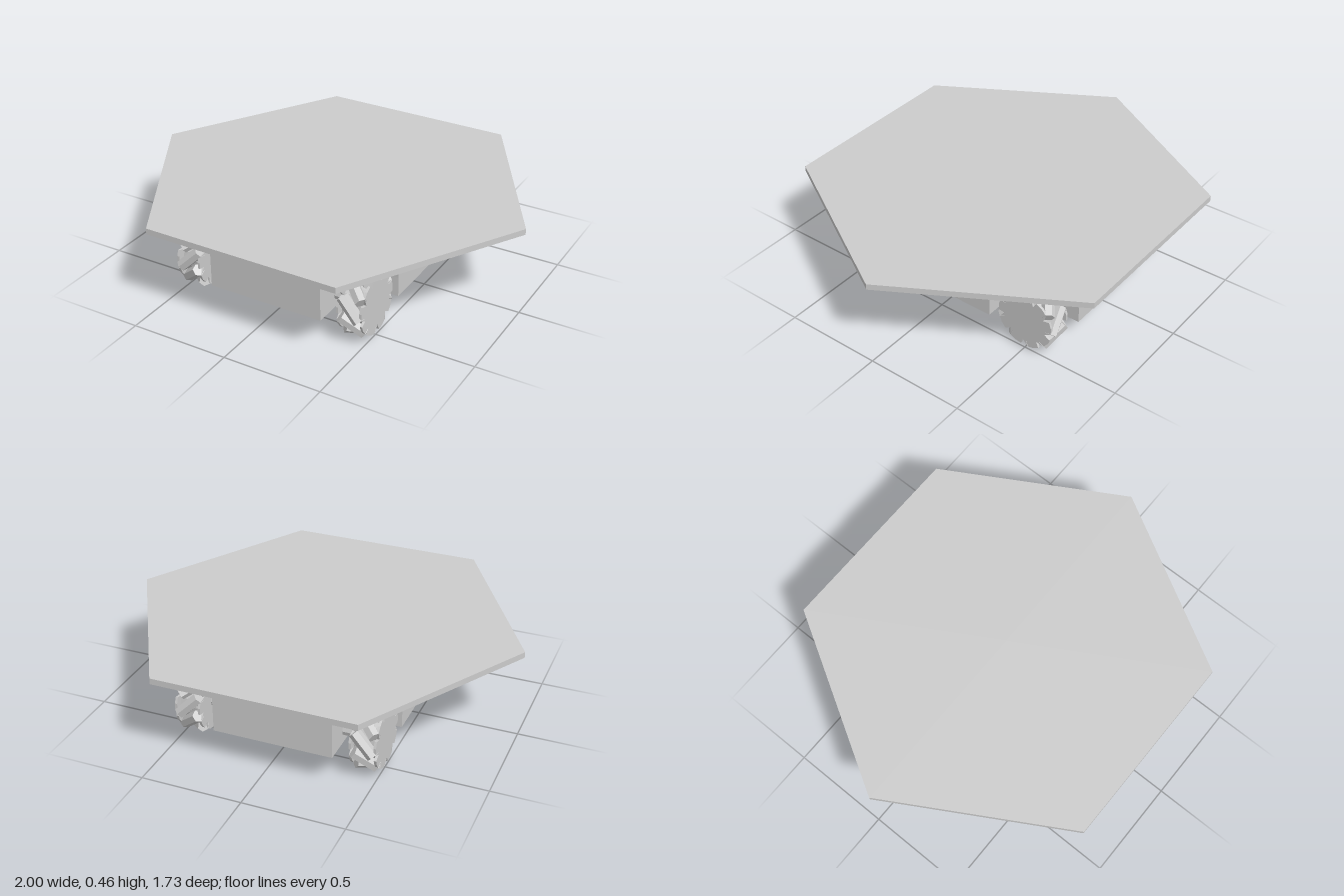
import * as THREE from 'three';

const mat = new THREE.MeshStandardMaterial({ color: 0xcccccc, flatShading: true });

function add(parent, name, geometry, x = 0, y = 0, z = 0) {
  const mesh = new THREE.Mesh(geometry, mat);
  mesh.name = name;
  mesh.position.set(x, y, z);
  parent.add(mesh);
  return mesh;
}

// Side section of the chassis: rounded wheel arches, open towards both ends
function archProfile() {
  const s = new THREE.Shape();
  s.moveTo(-0.3, 0.1);
  s.lineTo(0.3, 0.1);
  s.lineTo(0.3, 0.2);
  s.absarc(0.46, 0.2, 0.16, Math.PI, Math.PI / 2, true);
  s.lineTo(0.66, 0.36);
  s.lineTo(0.66, 0.405);
  s.lineTo(-0.66, 0.405);
  s.lineTo(-0.66, 0.36);
  s.lineTo(-0.46, 0.36);
  s.absarc(-0.46, 0.2, 0.16, Math.PI / 2, 0, true);
  s.closePath();
  return s;
}

const ROLLERS = 9;
const STEP = (Math.PI * 2) / ROLLERS;

// Toothed hub plate with a slanted notch for each roller end
function hubPlate(slant) {
  const pts = [];
  for (let i = 0; i < ROLLERS; i++) {
    const a = Math.PI / 2 + (i + 0.5) * STEP;
    for (const [offset, r] of [[-0.13, 0.148], [0.07 * slant, 0.115], [0.13, 0.148], [STEP / 2, 0.15]]) {
      pts.push(new THREE.Vector2(Math.cos(a + offset) * r, Math.sin(a + offset) * r));
    }
  }
  const g = new THREE.ExtrudeGeometry(new THREE.Shape(pts), { depth: 0.012, bevelEnabled: false });
  return g.translate(0, 0, -0.006).rotateY(Math.PI / 2);
}

// Wheel with diagonal rollers; hand (+1 or -1) sets the roller slant
function makeWheel(side, hand) {
  const wheel = new THREE.Group();
  add(wheel, 'hub', new THREE.CylinderGeometry(0.112, 0.112, 0.12, 18).rotateZ(Math.PI / 2));
  add(wheel, 'outerHubPlate', hubPlate(hand * side), side * 0.06);
  add(wheel, 'innerHubPlate', hubPlate(-hand * side), -side * 0.06);
  add(wheel, 'axle', new THREE.CylinderGeometry(0.035, 0.035, 0.12, 10).rotateZ(Math.PI / 2), -side * 0.1);
  for (let i = 0; i < ROLLERS; i++) {
    const roller = new THREE.CylinderGeometry(0.03, 0.03, 0.138, 6);
    roller.rotateX(Math.PI / 2).rotateY((hand * Math.PI) / 4);
    roller.translate(0, 0.13, 0).rotateX(i * STEP);
    add(wheel, 'roller', roller);
  }
  return wheel;
}

export function createModel() {
  const model = new THREE.Group();
  model.name = 'wheeledPlatform';

  // Hexagonal deck, corners on the x axis
  add(model, 'deck', new THREE.CylinderGeometry(1, 1, 0.03, 6).rotateY(Math.PI / 2), 0, 0.44, 0);

  // Chassis: central box with an arched section on each side
  const chassis = new THREE.Group();
  chassis.name = 'chassis';
  model.add(chassis);
  add(chassis, 'chassisCore', new THREE.BoxGeometry(0.6, 0.305, 1.32), 0, 0.2525, 0);
  for (const x of [-0.51, 0.3]) {
    const g = new THREE.ExtrudeGeometry(archProfile(), { depth: 0.21, bevelEnabled: false, curveSegments: 10 });
    add(chassis, 'wheelArches', g.rotateY(Math.PI / 2), x);
  }

  // Four wheels, roller slant alternating by corner
  for (const sx of [-1, 1]) {
    for (const sz of [-1, 1]) {
      const wheel = makeWheel(sx, sx * sz);
      wheel.name = (sz > 0 ? 'front' : 'back') + (sx > 0 ? 'Left' : 'Right') + 'Wheel';
      wheel.position.set(sx * 0.44, 0.167, sz * 0.5);
      model.add(wheel);
    }
  }
  return model;
}
